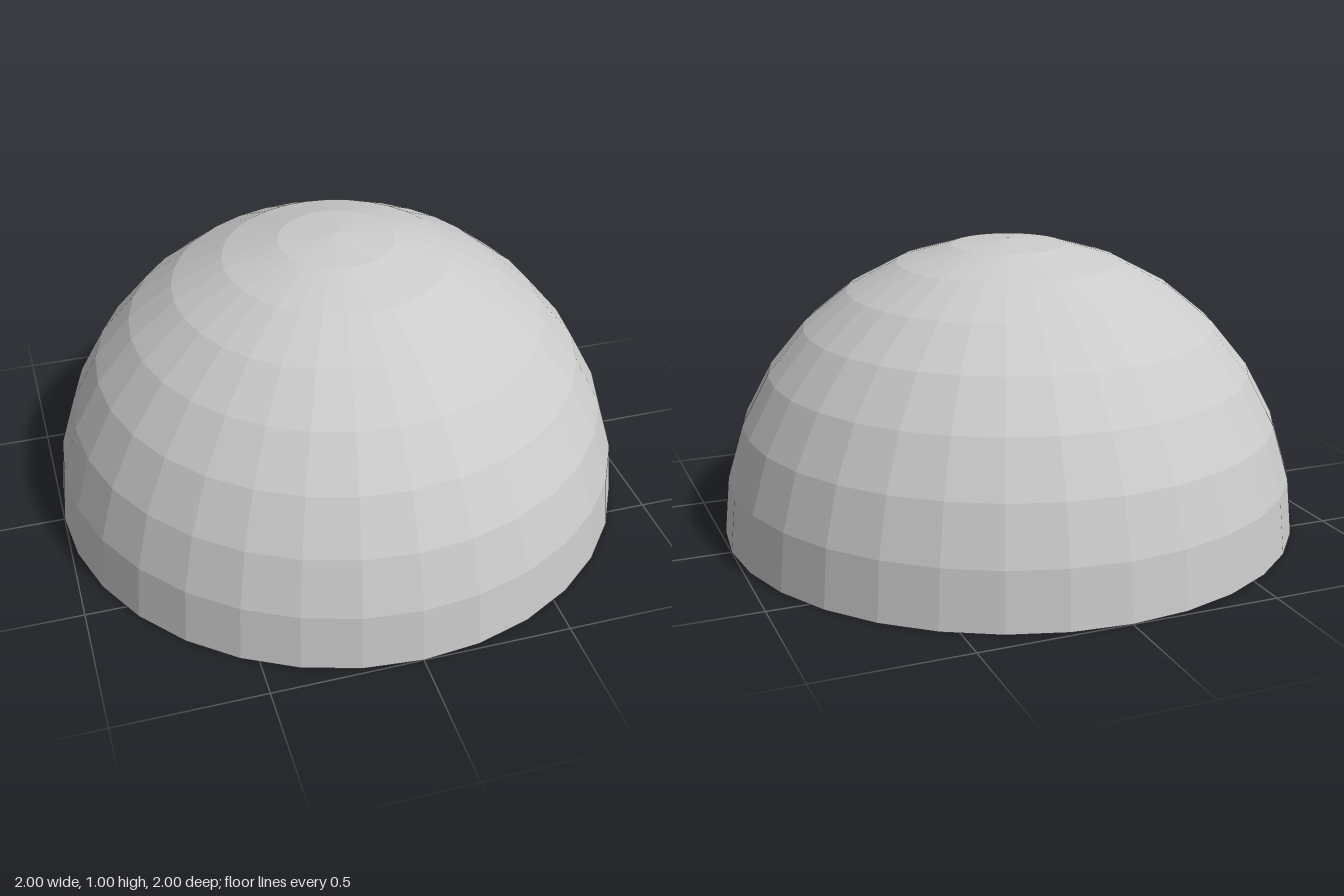
import * as THREE from 'three';

const material = new THREE.MeshStandardMaterial({ color: 0xcccccc, flatShading: true });
const shellMaterial = new THREE.MeshStandardMaterial({ color: 0xcccccc, flatShading: true, side: THREE.DoubleSide });

function add(parent, name, geometry, mat = material) {
  const mesh = new THREE.Mesh(geometry, mat);
  mesh.name = name;
  parent.add(mesh);
}

const outline = (points) => new THREE.Shape(points.map(([a, b]) => new THREE.Vector2(a, b)));

// Slab from an (x, z) outline, standing between y0 and y0 + height
function slab(points, y0, height) {
  return new THREE.ExtrudeGeometry(outline(points), { depth: height, bevelEnabled: false })
    .rotateX(Math.PI / 2).translate(0, y0 + height, 0);
}

// Plate from a (z, y) outline, running from x0 to x1
function plate(shape, x0, x1) {
  return new THREE.ExtrudeGeometry(shape, { depth: x1 - x0, bevelEnabled: false, curveSegments: 6 })
    .rotateY(-Math.PI / 2).translate(x1, 0, 0);
}

function box(x0, x1, y0, y1, z0, z1) {
  return new THREE.BoxGeometry(x1 - x0, y1 - y0, z1 - z0)
    .translate((x0 + x1) / 2, (y0 + y1) / 2, (z0 + z1) / 2);
}

export function createModel() {
  const model = new THREE.Group();
  model.name = 'domeWithFigure';

  // Open hemispherical shell
  add(model, 'dome', new THREE.SphereGeometry(1, 32, 8, 0, Math.PI * 2, 0, Math.PI / 2), shellMaterial);

  const figure = new THREE.Group();
  figure.name = 'figure';
  model.add(figure);

  // Flat base with two splayed legs reaching forward
  const half = [[0.25, -0.5], [0.27, 0.11], [0.34, 0.69], [0.135, 0.735], [0.16, 0.46], [0.25, 0.345]];
  const mirrored = half.map(([x, z]) => [-x, z]).reverse();
  add(figure, 'baseAndLegs', slab([...half, ...mirrored], 0.034, 0.18));

  // Torso and the block on its back
  add(figure, 'torso', box(-0.25, 0.25, 0.21, 0.5, -0.5, 0.15));
  add(figure, 'backBlock', box(-0.09, 0.09, 0.14, 0.36, -0.66, -0.5));

  // Rounded arms, each with a curved hook and stepped fingers
  const armShape = outline([
    [-0.28, 0.07], [-0.1, 0.06], [0.04, 0.11], [0.08, 0.24], [-0.02, 0.37],
    [-0.22, 0.46], [-0.5, 0.46], [-0.68, 0.36], [-0.74, 0.2], [-0.47, 0.1],
  ]);
  const hookShape = new THREE.Shape();
  hookShape.absarc(-0.15, 0.13, 0.13, Math.PI * 1.15, Math.PI * 1.95, false);
  hookShape.absarc(-0.15, 0.13, 0.09, Math.PI * 1.95, Math.PI * 1.15, true);

  for (const side of [1, -1]) {
    const arm = new THREE.Group();
    arm.name = side > 0 ? 'leftArm' : 'rightArm';
    figure.add(arm);
    const span = (a, b) => (side > 0 ? [a, b] : [-b, -a]);
    add(arm, 'armPlate', plate(armShape, ...span(0.25, 0.35)));
    add(arm, 'hook', plate(hookShape, ...span(0.35, 0.47)));
    for (let i = 0; i < 3; i++) {
      const z = -0.05 + i * 0.1;
      add(arm, 'finger', box(...span(0.34, 0.47 - i * 0.03), 0.02 + i * 0.02, 0.13, z, z + 0.1));
    }
    add(arm, 'thumb', box(...span(0.33, 0.46), 0.21, 0.28, 0.05, 0.23));
  }
  return model;
}
